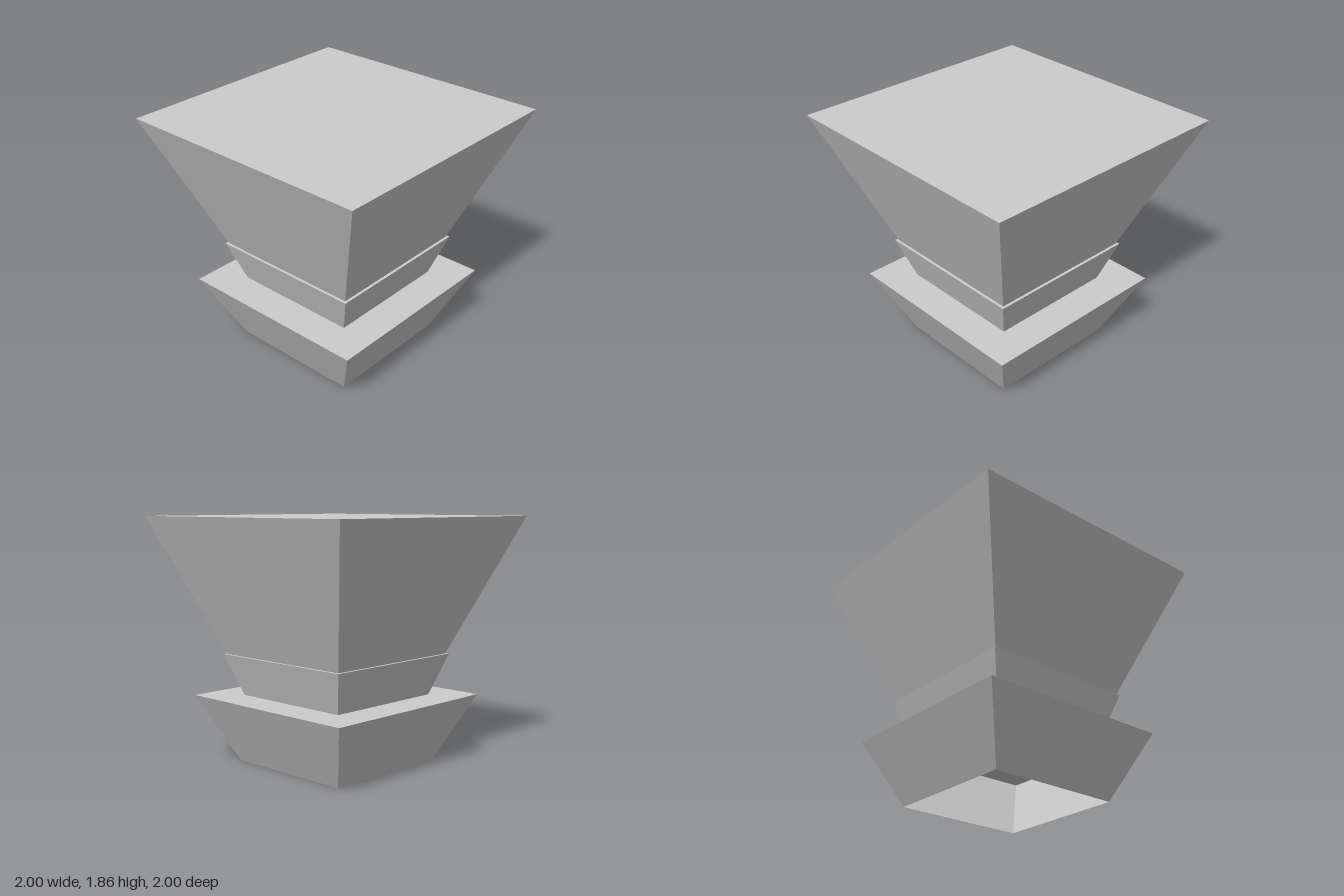
import * as THREE from 'three';

const material = new THREE.MeshStandardMaterial({
  color: 0xcccccc, flatShading: true, side: THREE.DoubleSide,
});

// Square tapered block given by half-widths and heights of its two ends.
function taperedBlock(name, bottomHalf, topHalf, y0, y1, open = false) {
  const geometry = new THREE.CylinderGeometry(
    topHalf * Math.SQRT2, bottomHalf * Math.SQRT2, y1 - y0, 4, 1, open, Math.PI / 4);
  const mesh = new THREE.Mesh(geometry, material);
  mesh.name = name;
  mesh.position.y = (y0 + y1) / 2;
  return mesh;
}

export function createModel() {
  const group = new THREE.Group();
  group.name = 'taperedPedestal';

  // Hollow base: thin walls, open underneath, closed by a lid
  const base = new THREE.Group();
  base.name = 'base';
  const lid = new THREE.Mesh(new THREE.PlaneGeometry(1.52, 1.52), material);
  lid.name = 'baseLid';
  lid.rotation.x = -Math.PI / 2;
  lid.position.y = 0.51;
  base.add(taperedBlock('baseWalls', 0.52, 0.76, 0, 0.51, true), lid);

  // Neck pokes slightly through the lid; the upper block sinks into the neck
  group.add(
    base,
    taperedBlock('neck', 0.46, 0.604, 0.41, 0.825),
    taperedBlock('upperBlock', 0.544, 1, 0.73, 1.86),
  );
  return group;
}
